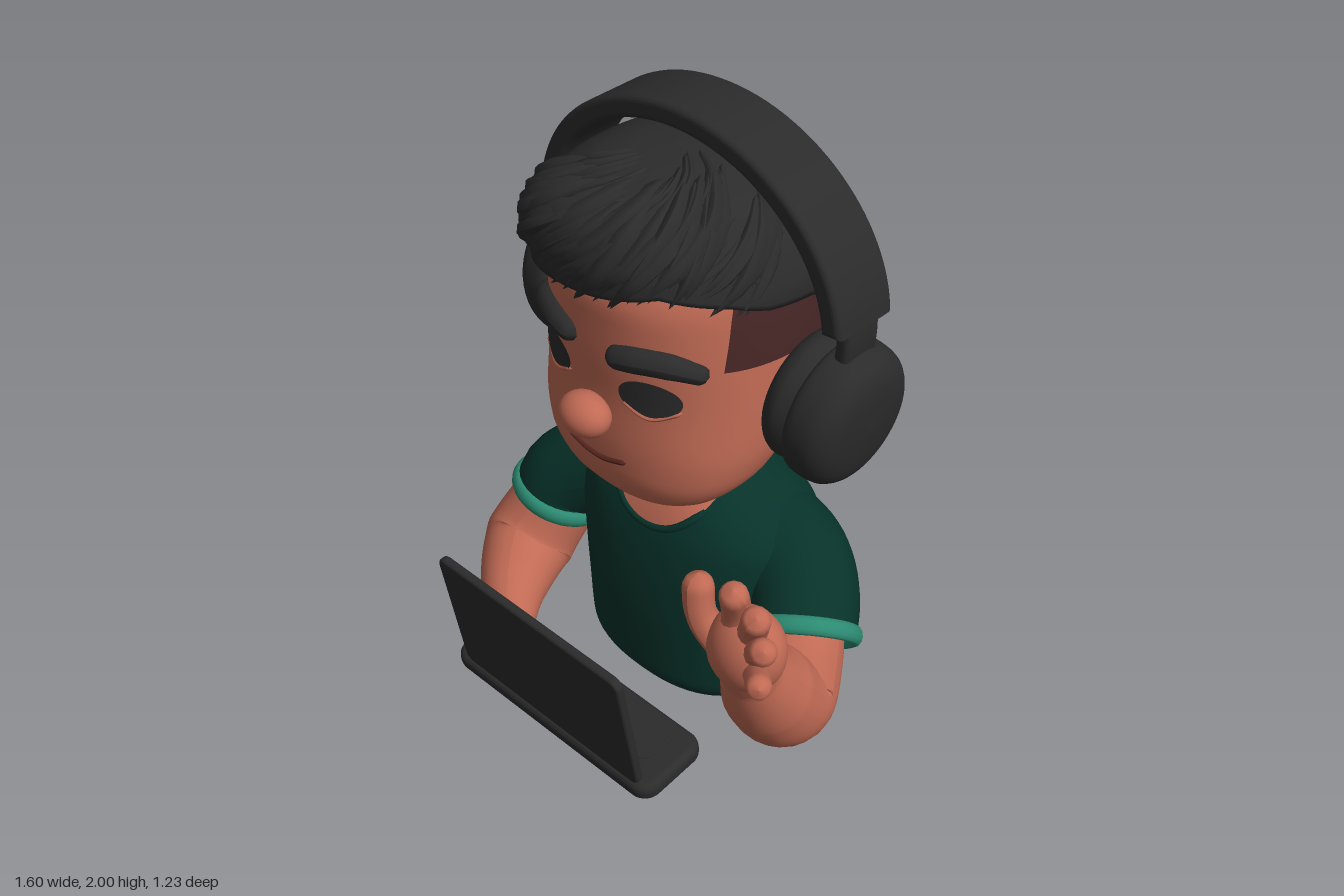
import * as THREE from 'three';
import { mergeGeometries } from 'three/addons/utils/BufferGeometryUtils.js';

const CX = -0.045; // middle line of head and body

// Cross-section rings: [y, half width, front z, back z]
const HEAD = [[0.835, 0, 0.1, 0.1], [0.845, 0.13, 0.2, 0], [0.87, 0.23, 0.255, -0.06], [0.92, 0.31, 0.293, -0.15],
  [1, 0.365, 0.315, -0.25], [1.1, 0.39, 0.32, -0.35], [1.25, 0.397, 0.313, -0.46], [1.4, 0.392, 0.32, -0.52],
  [1.55, 0.38, 0.32, -0.54], [1.7, 0.34, 0.24, -0.46], [1.82, 0.24, 0.1, -0.33], [1.87, 0, -0.1, -0.1]];
const HAIR = [[1, 0.33, 0.25, -0.31], [1.1, 0.385, 0.3, -0.43], [1.2, 0.405, 0.31, -0.525], [1.3, 0.415, 0.33, -0.585],
  [1.5, 0.42, 0.35, -0.61], [1.6, 0.42, 0.375, -0.585], [1.7, 0.39, 0.38, -0.515], [1.8, 0.32, 0.34, -0.41],
  [1.87, 0.225, 0.25, -0.29], [1.905, 0.12, 0.13, -0.18], [1.915, 0, -0.02, -0.02]];
const TORSO = [[0, 0, -0.12, -0.12], [0.006, 0.29, 0.1, -0.34], [0.03, 0.345, 0.15, -0.39], [0.09, 0.367, 0.175, -0.415],
  [0.3, 0.385, 0.18, -0.44], [0.45, 0.41, 0.17, -0.445], [0.55, 0.425, 0.155, -0.435], [0.63, 0.415, 0.135, -0.415],
  [0.7, 0.36, 0.105, -0.385], [0.75, 0.285, 0.075, -0.345], [0.78, 0.23, 0.05, -0.3], [0.8, 0.19, 0.035, -0.27], [0.805, 0, -0.12, -0.12]];

// Smooth overshoot-free interpolation between rings
function ringAt(rings, y) {
  const n = rings.length - 1;
  y = Math.min(Math.max(y, rings[0][0]), rings[n][0]);
  let i = 0;
  while (i < n - 1 && y > rings[i + 1][0]) i++;
  const h = rings[i + 1][0] - rings[i][0], t = (y - rings[i][0]) / h;
  return [1, 2, 3].map(k => {
    const d = j => (rings[j + 1][k] - rings[j][k]) / (rings[j + 1][0] - rings[j][0]);
    const m = j => j === 0 ? d(0) : j === n ? d(n - 1) : d(j) * d(j - 1) > 0 ? 2 * d(j) * d(j - 1) / (d(j) + d(j - 1)) : 0;
    const a = rings[i][k], b = rings[i + 1][k], t2 = t * t, t3 = t2 * t;
    return a * (2 * t3 - 3 * t2 + 1) + m(i) * h * (t3 - 2 * t2 + t) + b * (3 * t2 - 2 * t3) + m(i + 1) * h * (t3 - t2);
  });
}
const POW = 2.35, BACK_POW = 2.08; // squarer front, rounder back
// Point on a lofted body; angle 0 is the front, positive toward +x
function skinPoint(rings, a, y, off = 0) {
  const [w, f, b] = ringAt(rings, y), p = Math.cos(a) < 0 ? BACK_POW : POW;
  const sp = v => Math.sign(v) * Math.pow(Math.abs(v), 2 / p);
  return [CX + (w + off) * sp(Math.sin(a)), y, (f + b) / 2 + ((f - b) / 2 + off) * sp(Math.cos(a))];
}
// Front z of a lofted body at x, y
function frontZ(rings, x, y) {
  const [w, f, b] = ringAt(rings, y);
  const q = Math.min(1, Math.abs((x - CX) / Math.max(w, 0.001)));
  return (f + b) / 2 + (f - b) / 2 * Math.pow(1 - Math.pow(q, POW), 1 / POW);
}
function grid(fn, nu, nv, wrap) {
  const cols = wrap ? nu : nu + 1, pos = [], idx = [];
  for (let j = 0; j <= nv; j++) for (let i = 0; i < cols; i++) pos.push(...fn(i / nu, j / nv));
  for (let j = 0; j < nv; j++) for (let i = 0; i < nu; i++) {
    const k = (i + 1) % cols, a = j * cols + i, b = j * cols + k;
    idx.push(a, b, b + cols, a, b + cols, a + cols);
  }
  const g = new THREE.BufferGeometry();
  g.setAttribute('position', new THREE.Float32BufferAttribute(pos, 3));
  g.setIndex(idx);
  g.computeVertexNormals();
  return g;
}
const loft = rings => grid((u, v) => {
  const lo = rings[0][0], hi = rings[rings.length - 1][0];
  return skinPoint(rings, u * Math.PI * 2, lo + (hi - lo) * (1 - Math.cos(v * Math.PI)) / 2);
}, 64, 48, true);

// Tapered tube through [x, y, z, radius] points, with rounded ends
function sweep(pts, seg = 28, sides = 20, round = true) {
  const curve = new THREE.CatmullRomCurve3(pts.map(p => new THREE.Vector3(p[0], p[1], p[2])));
  const g = new THREE.TubeGeometry(curve, seg, 1, sides), P = g.attributes.position, len = curve.getLength();
  const v = new THREE.Vector3();
  for (let i = 0; i <= seg; i++) {
    const u = i / seg, c = curve.getPointAt(u), t = curve.getUtoTmapping(u) * (pts.length - 1);
    const k = Math.min(Math.floor(t), pts.length - 2);
    let r = THREE.MathUtils.lerp(pts[k][3], pts[k + 1][3], t - k);
    const e = Math.min(1, Math.min(u, 1 - u) * len / r);
    if (round) r *= Math.sqrt(Math.max(0, 1 - (1 - e) ** 2));
    for (let j = 0; j <= sides; j++) {
      const n = i * (sides + 1) + j;
      v.fromBufferAttribute(P, n).sub(c).multiplyScalar(r).add(c);
      P.setXYZ(n, v.x, v.y, v.z);
    }
  }
  g.computeVertexNormals();
  return g;
}
// Thin elliptical plate that hugs the front of a body
function frontPlate(rings, x, y, rx, ry, start = 0, len = Math.PI * 2) {
  const g = new THREE.RingGeometry(0.001, 1, 40, 6, start, len), P = g.attributes.position;
  for (let i = 0; i < P.count; i++) {
    const px = x + P.getX(i) * rx, py = y + P.getY(i) * ry;
    P.setXYZ(i, px, py, frontZ(rings, px, py) + 0.006);
  }
  g.computeVertexNormals();
  return g;
}
// Elliptical arch band with soft edges
function arch(rx, ry, th, a0, a1, depth) {
  const s = new THREE.Shape(), b = 0.018;
  s.absellipse(0, 0, rx, ry, a0, a1, false);
  s.absellipse(0, 0, rx - th, ry - th, a1, a0, true);
  const g = new THREE.ExtrudeGeometry(s, { depth, curveSegments: 48, bevelSize: b, bevelThickness: b, bevelSegments: 4 });
  return g.translate(CX, 1.488, -0.142 - depth / 2);
}
// Flat slab with rounded corners, thickness along z
function slab(w, h, th, r, bevel) {
  const x = w / 2 - bevel, y = h / 2 - bevel, s = new THREE.Shape();
  s.absarc(x - r, y - r, r, 0, Math.PI / 2);
  s.absarc(r - x, y - r, r, Math.PI / 2, Math.PI);
  s.absarc(r - x, r - y, r, Math.PI, Math.PI * 1.5);
  s.absarc(x - r, r - y, r, Math.PI * 1.5, Math.PI * 2);
  return new THREE.ExtrudeGeometry(s, { depth: th - 2 * bevel, bevelSize: bevel, bevelThickness: bevel, bevelSegments: 4 }).center();
}
// Hairline height by angle in degrees
const LINE = [[-180, 1.05], [-145, 1.06], [-128, 1.12], [-116, 1.27], [-105, 1.48], [-92, 1.56], [-30, 1.59], [0, 1.62],
  [35, 1.67], [60, 1.63], [75, 1.585], [92, 1.56], [105, 1.48], [116, 1.27], [128, 1.12], [145, 1.06], [180, 1.05]];
function hairPoint(deg, v, off = 0) {
  deg = ((deg + 540) % 360) - 180;
  let i = 0;
  while (i < LINE.length - 2 && deg > LINE[i + 1][0]) i++;
  const b = THREE.MathUtils.mapLinear(deg, LINE[i][0], LINE[i + 1][0], LINE[i][1], LINE[i + 1][1]);
  const a = deg * Math.PI / 180;
  if (v === null) return skinPoint(HEAD, a, b + 0.01, -0.02);
  return skinPoint(HAIR, a, b + (1.915 - b) * Math.sin(v * Math.PI / 2), off);
}

export function createModel() {
  const root = new THREE.Group();
  const mat = (name, color, side = THREE.FrontSide) => {
    const m = new THREE.MeshStandardMaterial({ color, side });
    m.name = name;
    return m;
  };
  const skin = mat('skin', 0xc06a54), shirt = mat('shirt green', 0x07322a, THREE.DoubleSide), trim = mat('sleeve trim', 0x2c8a72);
  const hairMat = mat('hair', 0x2b2b2c, THREE.DoubleSide), fade = mat('shaved hair', 0x472626), dark = mat('charcoal', 0x2b2b2b);
  const lip = mat('mouth line', 0x5a2620);
  const add = (name, geo, m, parent = root) => {
    const mesh = new THREE.Mesh(geo, m);
    mesh.name = name;
    parent.add(mesh);
    return mesh;
  };
  let seed = 7;
  const rnd = () => (seed = (seed * 16807) % 2147483647) / 2147483647;

  // Head and face
  add('head', loft(HEAD), skin);
  add('neck', new THREE.CylinderGeometry(0.185, 0.197, 0.4, 40).scale(1, 1, 0.85).translate(CX, 0.88, -0.115), skin);
  add('nose', new THREE.SphereGeometry(0.08, 32, 24).scale(1.06, 0.84, 0.85).translate(CX, 1.19, 0.355), skin);
  const onFace = (x, y, r, off = 0) => [CX + x, y, frontZ(HEAD, CX + x, y) + off, r];
  for (const s of [-1, 1]) {
    add('eye', frontPlate(HEAD, CX + s * 0.185, 1.3, 0.088, 0.06), dark);
    add('lowerLid', sweep([[0.1, 1.27], [0.185, 1.235], [0.27, 1.27]].map(([x, y]) => onFace(s * x, y, 0.009)), 16, 8), skin);
    add('eyebrow', sweep([[0.062, 1.408, 0.036], [0.15, 1.428, 0.041], [0.24, 1.428, 0.04], [0.318, 1.39, 0.028]]
      .map(([x, y, r]) => onFace(s * x, y, r)), 32, 14), dark);
    add('shavedSide', grid((u, v) => {
      const k = s > 0 ? u : 1 - u;
      return skinPoint(HEAD, s * (1.0 + k * 1.05 + v * 0.1 * (1 - k)), 1.4 + v * 0.25 - k * 0.03, 0.006);
    }, 18, 8, false), fade);
  }
  add('mouth', sweep([[-0.115, 1.045], [-0.05, 1.03], [0.03, 1.027], [0.115, 1.048]].map(([x, y]) => onFace(x, y, 0.009)), 24, 8), lip);

  // Hair: cap, fringe locks and fine strands
  add('hairCap', grid((u, v) => hairPoint(u * 360, v === 0 ? null : (v - 0.03125) / 0.96875), 72, 32, true), hairMat);
  const locks = [];
  const lock = (d0, v0, d1, v1, r, off) => locks.push(sweep([0, 0.33, 0.67, 1].map((t, i) => {
    const p = hairPoint(d0 + (d1 - d0) * t, v0 + (v1 - v0) * t, off);
    return [...p, r * [0.5, 1, 0.8, 0.12][i]];
  }), 12, 6));
  for (let i = 0; i < 44; i++) {
    const tip = -85 + i * 3.5 + rnd() * 4;
    lock(tip + 30 + rnd() * 25, 0.5 + rnd() * 0.3, tip, -0.08 + rnd() * 0.14, 0.022 + rnd() * 0.012, tip < -45 ? 0.012 : -0.004);
  }
  for (let i = 0; i < 50; i++) {
    const d = -75 + rnd() * 150, v = 0.3 + rnd() * 0.5;
    lock(d + 25, v + 0.1, d - 15, v - 0.3, 0.015, -0.007);
  }
  for (let i = 0; i < 90; i++) {
    const d = 125 + rnd() * 110, v = 0.2 + rnd() * 0.5;
    lock(d + 14, v, d - 14, v - 0.2, 0.009, -0.005);
  }
  add('hairLocks', mergeGeometries(locks), hairMat);

  // Headphones
  add('headband', arch(0.572, 0.494, 0.033, 0.11, Math.PI - 0.11, 0.19), dark);
  const lathe = pts => new THREE.LatheGeometry(new THREE.SplineCurve(pts.map(p => new THREE.Vector2(...p))).getPoints(30), 48);
  for (const s of [-1, 1]) {
    const mid = s > 0 ? 0 : Math.PI;
    add('slider', arch(0.566, 0.484, 0.013, mid - 0.22, mid + 0.22, 0.1), dark);
    const cup = new THREE.Group();
    cup.name = 'earCup';
    cup.position.set(CX + s * 0.375, 1.232, -0.138);
    cup.rotation.z = -s * (Math.PI / 2 + 0.13);
    cup.scale.z = 0.91;
    add('cushion', lathe([[0.1, 0], [0.185, 0.005], [0.218, 0.055], [0.19, 0.115]]), dark, cup);
    add('shell', lathe([[0.17, 0.09], [0.22, 0.108], [0.23, 0.15], [0.215, 0.212], [0.15, 0.252], [0.001, 0.265]]), dark, cup);
    root.add(cup);
  }

  // Shirt
  add('shirtBody', loft(TORSO), shirt);
  add('neckline', frontPlate(TORSO, CX, 0.8, 0.19, 0.155, Math.PI, Math.PI), skin);
  add('collar', sweep([0, 1, 2, 3, 4, 5, 6].map(i => {
    const a = Math.PI * (1 + i / 6), x = CX + 0.19 * Math.cos(a), y = 0.8 + 0.155 * Math.sin(a);
    return [x, y, frontZ(TORSO, x, y), 0.013];
  }), 36, 8), shirt);
  const sleeve = pts => {
    add('sleeve', sweep(pts, 32, 32, false), shirt);
    const [a, b] = pts.slice(-2).map(p => new THREE.Vector3(p[0], p[1], p[2]));
    const cuff = add('sleeveTrim', new THREE.TorusGeometry(pts[pts.length - 1][3] - 0.002, 0.02, 12, 40).scale(1, 1, 1.5), trim);
    cuff.position.copy(b);
    cuff.lookAt(b.clone().multiplyScalar(2).sub(a));
  };
  sleeve([[-0.12, 0.56, -0.16, 0.215], [-0.27, 0.55, -0.165, 0.2], [-0.41, 0.525, -0.145, 0.178],
    [-0.53, 0.465, -0.09, 0.163], [-0.595, 0.405, -0.05, 0.156], [-0.608, 0.35, -0.035, 0.156]]);
  sleeve([[0.03, 0.56, -0.16, 0.215], [0.18, 0.55, -0.165, 0.2], [0.31, 0.53, -0.16, 0.18],
    [0.41, 0.475, -0.105, 0.17], [0.465, 0.405, -0.035, 0.168]]);

  // Arm resting on the keyboard
  add('restingArm', sweep([[-0.56, 0.47, -0.07, 0.12], [-0.61, 0.33, -0.02, 0.142], [-0.645, 0.175, 0.09, 0.155],
    [-0.54, 0.135, 0.26, 0.11], [-0.43, 0.11, 0.37, 0.072], [-0.36, 0.1, 0.44, 0.062], [-0.345, 0.095, 0.505, 0.054]], 56, 28), skin);

  // Raised waving arm and hand
  add('wavingArm', sweep([[0.4, 0.5, -0.1, 0.13], [0.47, 0.38, 0, 0.15], [0.52, 0.285, 0.1, 0.16],
    [0.55, 0.42, 0.22, 0.14], [0.575, 0.58, 0.315, 0.09], [0.59, 0.68, 0.36, 0.088], [0.605, 0.76, 0.375, 0.08]], 56, 28), skin);
  add('palm', new THREE.SphereGeometry(1, 32, 24).scale(0.122, 0.14, 0.103).rotateZ(-0.25).translate(0.605, 0.73, 0.375), skin);
  const fingers = [
    [[0.54, 0.68, 0.38], [0.465, 0.79, 0.41], [0.44, 0.925, 0.4], 0.046],
    [[0.57, 0.74, 0.38], [0.585, 0.88, 0.4], [0.615, 1.005, 0.45], 0.042],
    [[0.61, 0.74, 0.38], [0.66, 0.87, 0.41], [0.72, 0.985, 0.47], 0.042],
    [[0.63, 0.72, 0.38], [0.7, 0.82, 0.43], [0.775, 0.92, 0.5], 0.04],
    [[0.63, 0.68, 0.38], [0.7, 0.74, 0.44], [0.79, 0.81, 0.53], 0.037]];
  for (const [a, b, c, r] of fingers) add('finger', sweep([[...a, r * 1.15], [...b, r], [...c, r]], 24, 14), skin);

  // Laptop
  const plate = (name, geo, p, tilt) => {
    const m = add(name, geo, dark);
    m.position.set(...p);
    m.rotation.x = tilt;
  };
  plate('laptopBase', slab(0.89, 0.27, 0.066, 0.035, 0.025), [-0.075, 0.053, 0.415], 0.12 - Math.PI / 2);
  plate('keyboardPlate', slab(0.58, 0.15, 0.009, 0.04, 0.003), [-0.005, 0.089, 0.395], 0.12 - Math.PI / 2);
  plate('laptopScreen', slab(0.79, 0.5, 0.03, 0.025, 0.01), [-0.065, 0.312, 0.565], 0.16);
  return root;
}
